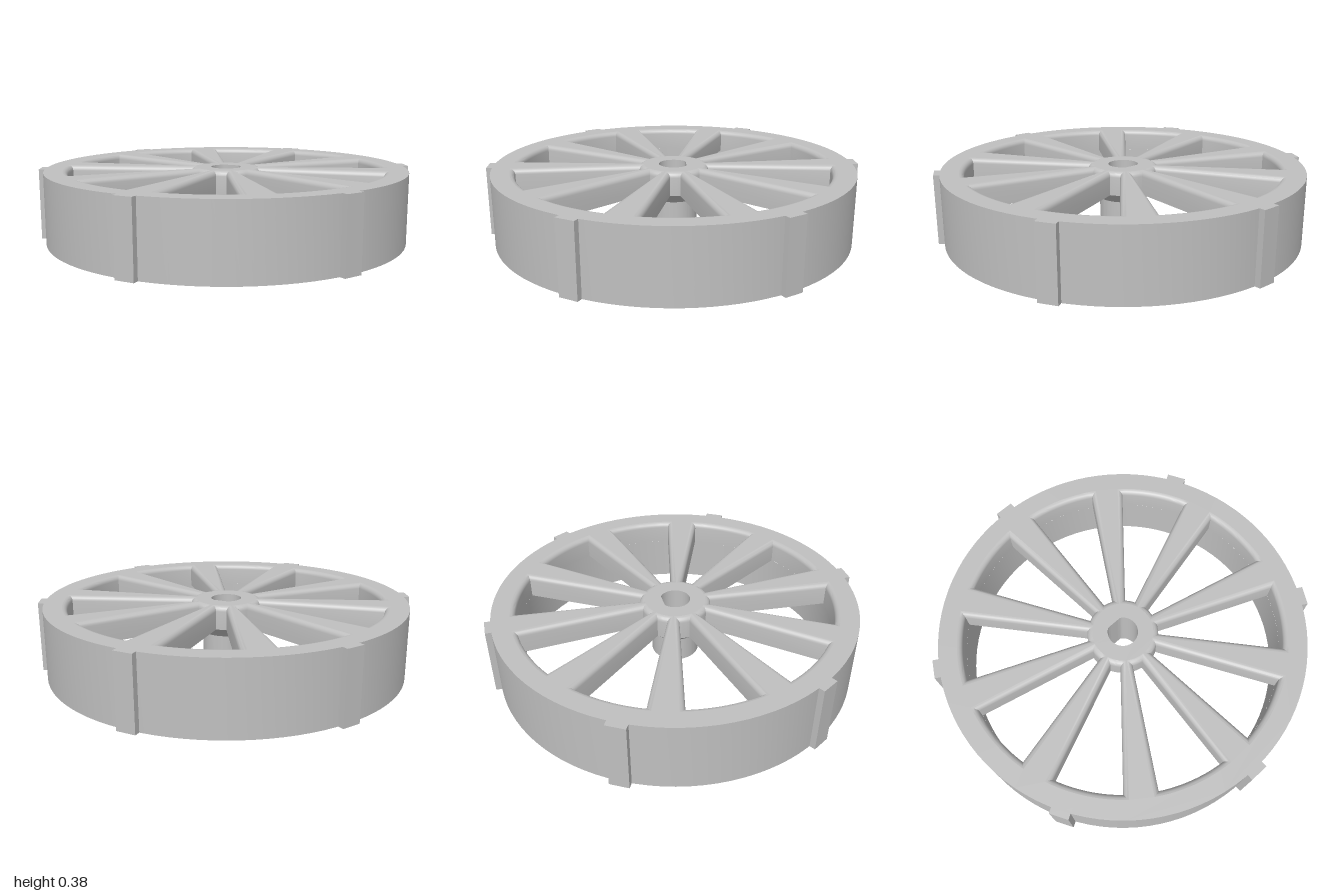
import * as THREE from 'three';
import { toCreasedNormals } from 'three/addons/utils/BufferGeometryUtils.js';

const TOP = 0.375, WEB = 0.25;            // upper face and underside of the spokes
const RIM = 0.97, RIM_IN = 0.845, HUB = 0.188, SHAFT = 0.127, FOOT = 0.06;
const SPOKES = 10, LUGS = 6, FILLET = 0.027;

// Outline of one gap between two spokes, grown outwards by d
function gapOutline(index, d) {
  const start = Math.PI / 2 + index * 2 * Math.PI / SPOKES, step = 2 * Math.PI / SPOKES;
  const points = [];
  const arc = (r, segments, reverse) => {
    const halfWidth = 0.032 + (r - 0.19) * 0.084 - d;
    const edge = Math.asin(halfWidth / r);
    for (let i = 0; i <= segments; i++) {
      const t = reverse ? 1 - i / segments : i / segments;
      const a = start + edge + t * (step - 2 * edge);
      points.push(new THREE.Vector2(r * Math.cos(a), r * Math.sin(a)));
    }
  };
  arc(RIM_IN + d, 12, false);
  arc(HUB - d, 6, true);
  return points;
}

// Round bore with one flat; side = 1 or -1 mirrors it for the underside
function boreOutline(side) {
  const points = [];
  for (let i = 0; i < 48; i++) {
    const a = i / 48 * Math.PI * 2;
    points.push(new THREE.Vector2(0.08 * Math.cos(a), side * Math.min(0.068, 0.08 * Math.sin(a))));
  }
  return points;
}

function disc(radius, holes) {
  const shape = new THREE.Shape();
  shape.absarc(0, 0, radius, 0, Math.PI * 2);
  holes.forEach(points => shape.holes.push(new THREE.Path(points)));
  return new THREE.ShapeGeometry(shape, 48);
}

// Inward-facing wall through closed outlines listed from top to bottom
function wall(loops) {
  const position = [], index = [], n = loops[0].points.length;
  loops.forEach(({ points, y }) => points.forEach(p => position.push(p.x, y, -p.y)));
  for (let k = 0; k < loops.length - 1; k++) {
    for (let i = 0; i < n; i++) {
      const a = k * n + i, b = k * n + (i + 1) % n;
      index.push(a, b, a + n, b, b + n, a + n);
    }
  }
  const geometry = new THREE.BufferGeometry();
  geometry.setAttribute('position', new THREE.Float32BufferAttribute(position, 3));
  geometry.setIndex(index);
  return toCreasedNormals(geometry, 0.6);
}

function lathe(profile) {
  const points = profile.map(([r, y]) => new THREE.Vector2(r, y));
  return toCreasedNormals(new THREE.LatheGeometry(points, 96), 0.5);
}

export function createModel() {
  const model = new THREE.Group();
  model.name = 'spokedWheel';
  const grey = new THREE.MeshStandardMaterial({ color: 0xc0c0c0 });
  grey.name = 'light grey';
  const add = (name, geometry, y = 0) => {
    const mesh = new THREE.Mesh(geometry, grey);
    mesh.name = name;
    mesh.position.y = y;
    model.add(mesh);
    return mesh;
  };
  const gaps = [...Array(SPOKES).keys()];

  // Deep rim: inner wall, lower edge and outer wall
  add('rim', lathe([[RIM_IN, WEB], [RIM_IN, 0], [RIM, 0], [RIM, TOP]]));

  // Flat face shared by rim, spokes and hub, and the underside of the spokes
  add('wheelFace', disc(RIM, [...gaps.map(i => gapOutline(i, FILLET)), boreOutline(1)])
    .rotateX(-Math.PI / 2), TOP);
  add('spokeUnderside', disc(RIM_IN + 0.003, [...gaps.map(i => gapOutline(i, 0)), boreOutline(-1)])
    .rotateX(Math.PI / 2), WEB);

  // Spoke sides with rounded upper edges
  gaps.forEach(i => {
    const loops = [];
    for (let k = 0; k <= 5; k++) {
      const t = k / 5 * Math.PI / 2;
      loops.push({
        points: gapOutline(i, FILLET * (1 - Math.sin(t))),
        y: TOP - FILLET * (1 - Math.cos(t)),
      });
    }
    loops.push({ points: gapOutline(i, 0), y: WEB });
    add('spokeSides', wall(loops));
  });

  // Hub shaft flaring into the spokes, its lower end and the bore
  add('hubShaft', lathe([[SHAFT, FOOT], [SHAFT, 0.195], [0.14, 0.21], [0.163, 0.228], [HUB, WEB]]));
  add('hubEnd', disc(SHAFT, [boreOutline(-1)]).rotateX(Math.PI / 2), FOOT);
  add('hubBore', wall([{ points: boreOutline(1), y: TOP }, { points: boreOutline(1), y: FOOT }]));

  // Raised lugs around the rim
  for (let i = 0; i < LUGS; i++) {
    const geometry = new THREE.BoxGeometry(0.1, TOP, 0.06);
    geometry.translate(0, TOP / 2, 0.97).rotateY(i * 2 * Math.PI / LUGS);
    add('rimLug', geometry);
  }
  return model;
}
